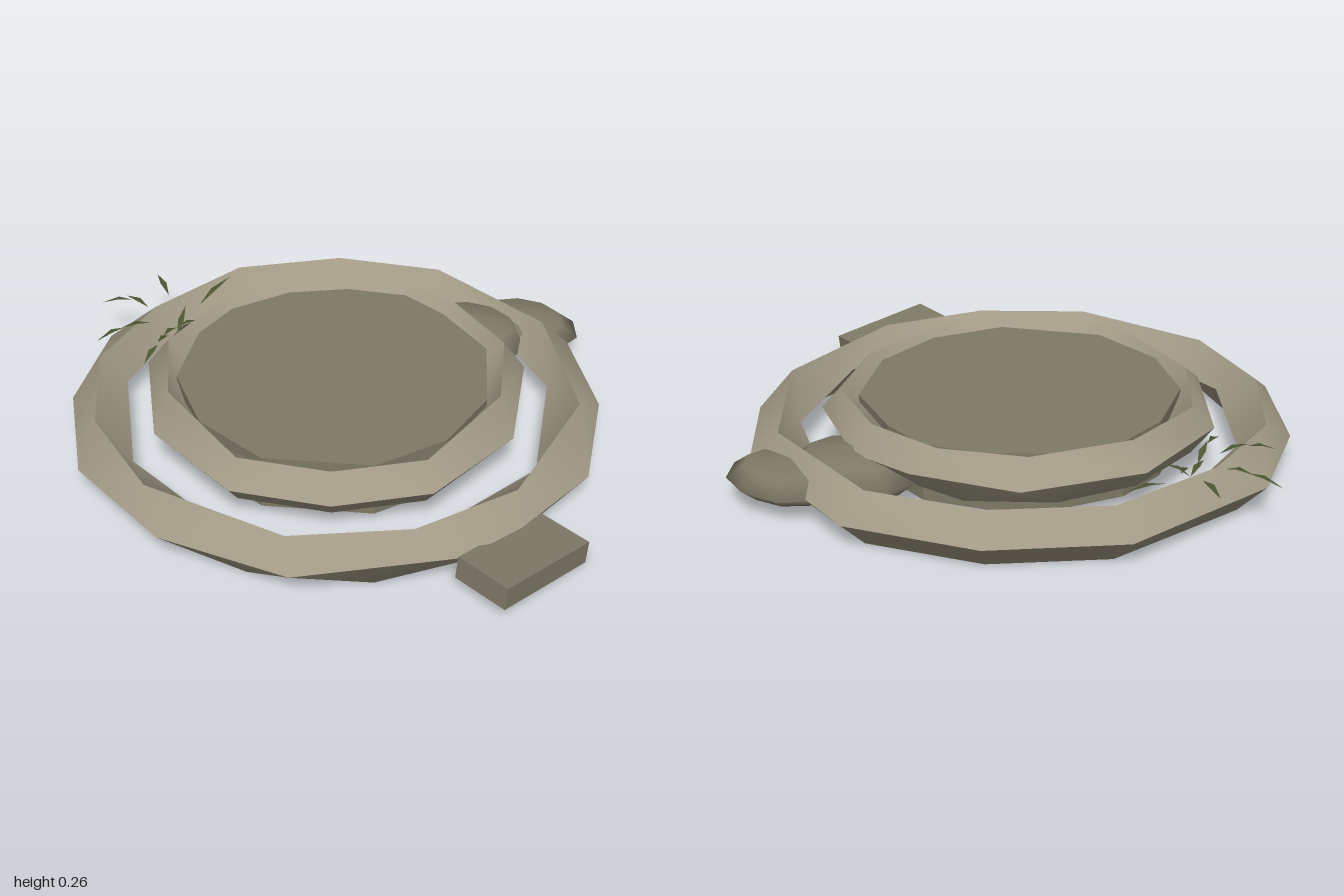
import * as THREE from 'three';

const CENTER_Z = -0.045;

// One closed loop of [x, z] points at a height, sorted around the centre
function loop(y, pts) {
  return pts
    .map(([x, z]) => ({ x, y, z, a: Math.atan2(z - CENTER_Z, x) }))
    .sort((p, q) => p.a - q.a);
}

function circle(r, n) {
  return Array.from({ length: n }, (_, i) => {
    const a = ((i + 0.5) / n) * Math.PI * 2;
    return [r * Math.cos(a), CENTER_Z + r * Math.sin(a)];
  });
}

// Surface between two loops whose corners need not line up
function band(A, B, material, name) {
  const n = A.length, m = B.length, index = [];
  const at = (L, i) => L[i % L.length].a + (i >= L.length ? Math.PI * 2 : 0);
  let i = 0, j = 0;
  while (i < n || j < m) {
    const a = i % n, b = n + (j % m);
    if (j === m || (i < n && at(A, i + 1) < at(B, j + 1))) {
      index.push(a, b, (i + 1) % n);
      i++;
    } else {
      index.push(a, b, n + ((j + 1) % m));
      j++;
    }
  }
  const g = new THREE.BufferGeometry();
  g.setAttribute('position', new THREE.Float32BufferAttribute([...A, ...B].flatMap(p => [p.x, p.y, p.z]), 3));
  g.setIndex(index);
  g.computeVertexNormals();
  const mesh = new THREE.Mesh(g, material);
  mesh.name = name;
  return mesh;
}

// Diamond-section ring: outer edge, top ridge, inner edge, bottom ridge
function worn(name, material, outer, top, inner, bottom) {
  const group = new THREE.Group();
  group.name = name;
  const loops = [outer, top, inner, bottom];
  ['upperOuter', 'upperInner', 'lowerInner', 'lowerOuter'].forEach((part, k) =>
    group.add(band(loops[k], loops[(k + 1) % 4], material, part + 'Face')));
  return group;
}

export function createModel() {
  const model = new THREE.Group();
  model.name = 'ruinedStoneRing';
  const paleStone = new THREE.MeshStandardMaterial({ color: 0xa29a86 });
  paleStone.name = 'paleStone';
  const darkStone = new THREE.MeshStandardMaterial({ color: 0x7f7a67 });
  darkStone.name = 'darkStone';
  const leafGreen = new THREE.MeshStandardMaterial({ color: 0x4c5632, side: THREE.DoubleSide });
  leafGreen.name = 'leafGreen';

  // Outer ring
  const outerTop = [[0, -0.914], [0.396, -0.83], [0.777, -0.45], [0.866, 0.08], [0.613, 0.57], [0.27, 0.777],
    [-0.143, 0.82], [-0.618, 0.57], [-0.83, 0.217], [-0.866, -0.18], [-0.7, -0.53], [-0.4, -0.83]];
  model.add(worn('outerRing', paleStone,
    loop(0.098, [[0, -1], [0.46, -0.9], [0.877, -0.465], [0.956, -0.053], [0.872, 0.375], [0.5, 0.79],
      [-0.127, 0.91], [-0.565, 0.724], [-0.872, 0.375], [-0.956, -0.053], [-0.872, -0.465], [-0.46, -0.9]]),
    loop(0.193, outerTop),
    loop(0.098, [[0.137, -0.819], [0.6, -0.55], [0.777, -0.16], [0.697, 0.338], [0.343, 0.655], [-0.127, 0.724],
      [-0.44, 0.58], [-0.69, 0.322], [-0.77, -0.16], [-0.6, -0.55], [-0.243, -0.787]]),
    loop(0.002, outerTop.map(([x, z]) => [-x, z]))));

  // Raised inner ring
  const innerTop = [[-0.106, -0.66], [0.195, -0.634], [0.444, -0.48], [0.613, -0.206], [0.58, 0.13], [0.317, 0.5],
    [0, 0.57], [-0.317, 0.5], [-0.58, 0.13], [-0.613, -0.206], [-0.43, -0.49]];
  model.add(worn('innerRing', paleStone,
    loop(0.172, [[-0.09, -0.745], [0.285, -0.66], [0.5, -0.535], [0.69, -0.18], [0.62, 0.26], [0.338, 0.57],
      [0, 0.645], [-0.338, 0.57], [-0.62, 0.26], [-0.69, -0.18], [-0.48, -0.555]]),
    loop(0.258, innerTop),
    loop(0.172, circle(0.53, 12)),
    loop(0.086, innerTop.map(([x, z]) => [-x, z]))));

  // Floor slab inside the inner ring
  const slabPts = [[0.037, -0.607], [0.259, -0.565], [0.4, -0.433], [0.55, -0.2], [0.534, 0.12], [0.386, 0.36],
    [0.143, 0.505], [-0.238, 0.47], [-0.46, 0.27], [-0.565, 0], [-0.51, -0.285], [-0.4, -0.454], [-0.19, -0.576]];
  const slabShape = new THREE.Shape(slabPts.map(([x, z]) => new THREE.Vector2(x, -z)));
  const slab = new THREE.Mesh(
    new THREE.ExtrudeGeometry(slabShape, { depth: 0.205, bevelEnabled: false }).rotateX(-Math.PI / 2), darkStone);
  slab.position.y = 0.03;
  slab.name = 'floorSlab';
  model.add(slab);

  // Fallen block leaning on the outer ring
  const block = new THREE.Mesh(new THREE.BoxGeometry(0.405, 0.082, 0.21), darkStone);
  block.position.set(0.622, 0.067, 0.772);
  block.rotation.set(0, Math.PI / 4, -0.115, 'YXZ');
  block.name = 'fallenBlock';
  model.add(block);

  // Flat boulders either side of the outer ring
  [['outerBoulder', 0.71, 0.095, -0.575, 0.225, 0.065, 0.18],
    ['innerBoulder', 0.505, 0.1, -0.505, 0.24, 0.085, 0.19]].forEach(([name, x, y, z, sx, sy, sz]) => {
    const rock = new THREE.Mesh(new THREE.SphereGeometry(1, 10, 4), darkStone);
    rock.position.set(x, y, z);
    rock.scale.set(sx, sy, sz);
    rock.rotation.y = -0.35;
    rock.name = name;
    model.add(rock);
  });

  // Sparse weeds: each leaf is a thin bent diamond from root to tip
  const weeds = new THREE.Group();
  weeds.name = 'weeds';
  const leaves = [
    [-0.66, 0.19, -0.62, -0.72, 0.2, -0.76], [-0.73, 0.19, -0.53, -0.82, 0.205, -0.59],
    [-0.8, 0.2, -0.57, -0.92, 0.165, -0.6], [-0.71, 0.19, -0.42, -0.81, 0.205, -0.36],
    [-0.8, 0.2, -0.37, -0.9, 0.17, -0.32], [-0.54, 0.16, -0.6, -0.43, 0.2, -0.75],
    [-0.62, 0.13, -0.48, -0.53, 0.17, -0.475], [-0.61, 0.13, -0.42, -0.59, 0.18, -0.56],
    [-0.64, 0.14, -0.41, -0.67, 0.18, -0.3], [-0.67, 0.17, -0.3, -0.71, 0.15, -0.2],
    [-0.62, 0.13, -0.48, -0.66, 0.15, -0.39]];
  leaves.forEach(([x0, y0, z0, x1, y1, z1]) => {
    const root = new THREE.Vector3(x0, y0, z0), tip = new THREE.Vector3(x1, y1, z1);
    const side = new THREE.Vector3(z0 - z1, 0, x1 - x0).setLength(0.012);
    const mid = root.clone().lerp(tip, 0.45);
    mid.y += 0.012;
    const g = new THREE.BufferGeometry().setFromPoints([root, mid.clone().add(side), tip, mid.clone().sub(side)]);
    g.setIndex([0, 1, 3, 1, 2, 3]);
    g.computeVertexNormals();
    const leaf = new THREE.Mesh(g, leafGreen);
    leaf.name = 'leaf';
    weeds.add(leaf);
  });
  model.add(weeds);
  return model;
}
